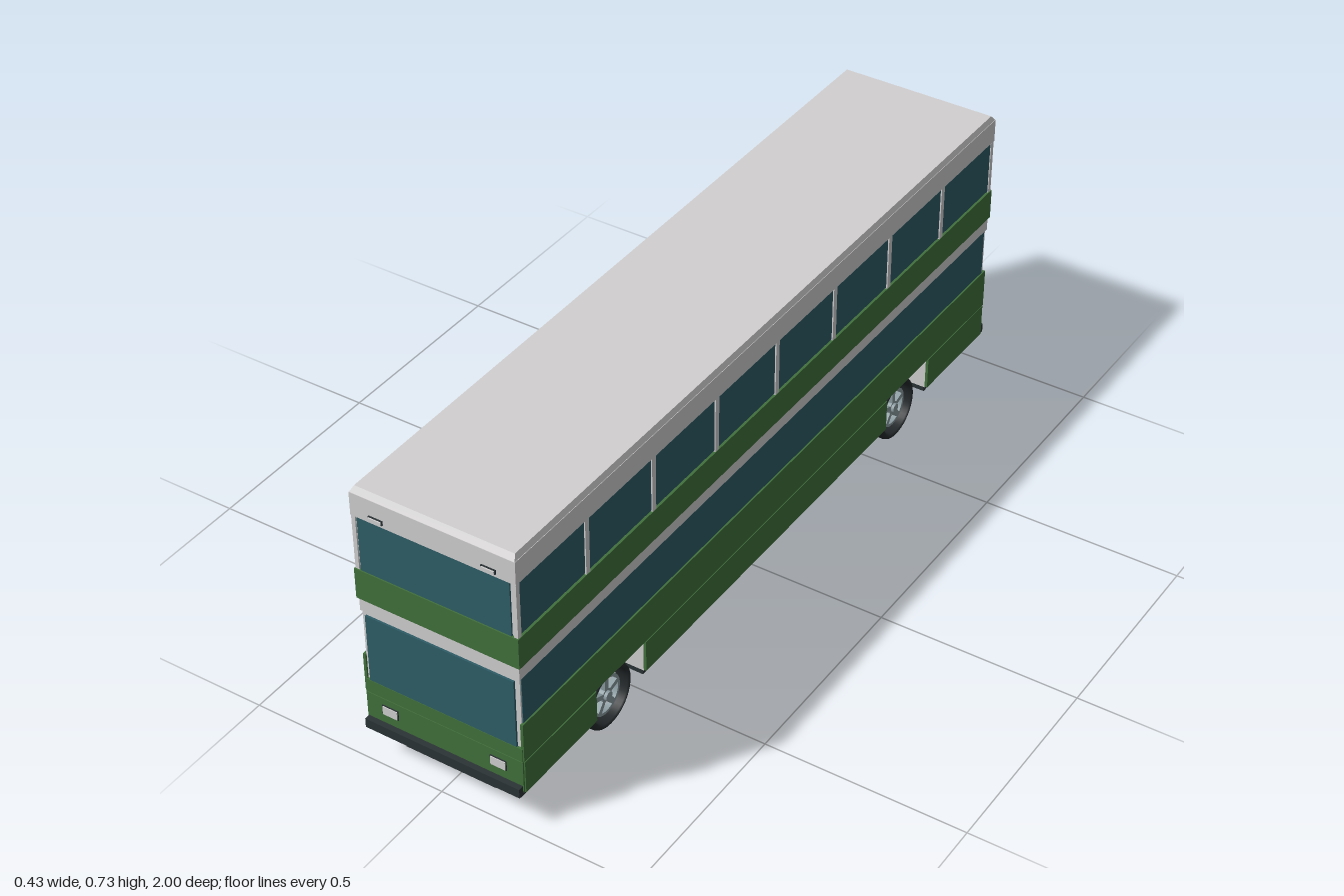
import * as THREE from 'three';

const material = (name, color) => Object.assign(new THREE.MeshStandardMaterial({ color }), { name });
const white = material('off white paint', 0xd2d0d1);
const green = material('green paint', 0x41703b);
const glass = material('tinted glass', 0x2e5d67);
const dark = material('charcoal trim', 0x2b3335);
const rubber = material('tyre rubber', 0x24292b);
const metal = material('grey metal', 0x8b9ca1);

const CX = 0.005; // middle of the body across its width
const ARCHES = [[0.53, 0.72], [-0.71, -0.51]];
const SKIRTS = [[0.72, 0.982], [-0.51, 0.53], [-0.982, -0.71]];

export function createModel() {
  const model = new THREE.Group();
  model.name = 'doubleDeckBus';

  // box given by its limits on each axis
  function box(name, mat, x0, x1, y0, y1, z0, z1, parent = model) {
    const mesh = new THREE.Mesh(new THREE.BoxGeometry(x1 - x0, y1 - y0, z1 - z0), mat);
    mesh.position.set((x0 + x1) / 2, (y0 + y1) / 2, (z0 + z1) / 2);
    mesh.name = name;
    parent.add(mesh);
    return mesh;
  }
  // box centred on the body, given by half width and half length
  const slab = (name, mat, hw, y0, y1, hl) => box(name, mat, CX - hw, CX + hw, y0, y1, -hl, hl);
  // matching thin plates on both flanks
  function flanks(name, mat, inner, outer, y0, y1, z0, z1) {
    box(name + 'Left', mat, CX + inner, CX + outer, y0, y1, z0, z1);
    box(name + 'Right', mat, CX - outer, CX - inner, y0, y1, z0, z1);
  }

  // main shells of both decks
  slab('lowerDeckShell', white, 0.201, 0.18, 0.405, 0.98);
  slab('middleBand', white, 0.204, 0.405, 0.44, 0.984);
  slab('upperGreenBand', green, 0.208, 0.44, 0.519, 0.988);
  slab('upperDeckShell', white, 0.202, 0.519, 0.66, 0.981);
  slab('roofSide', white, 0.207, 0.66, 0.719, 0.986);

  // roof cap with sloping edges
  const cap = slab('roofCap', white, 0.206, 0.719, 0.732, 0.985);
  const pos = cap.geometry.attributes.position;
  for (let i = 0; i < pos.count; i++) {
    if (pos.getY(i) > 0) {
      pos.setX(i, pos.getX(i) - Math.sign(pos.getX(i)) * 0.006);
      pos.setZ(i, pos.getZ(i) - Math.sign(pos.getZ(i)) * 0.01);
    }
  }
  cap.geometry.computeVertexNormals();

  // skirts between the wheel arches, with floor below
  for (const [z0, z1] of SKIRTS) {
    box('skirtCore', white, CX - 0.2, CX + 0.2, 0.092, 0.18, z0, z1);
    flanks('skirtPanel', green, 0.2, 0.207, 0.094, 0.178, z0, z1);
    box('floor', dark, CX - 0.198, CX + 0.198, 0.08, 0.092, Math.max(z0, -0.975), Math.min(z1, 0.975));
  }
  for (const [z0, z1] of ARCHES) box('archLiner', dark, CX - 0.2, CX + 0.2, 0.174, 0.18, z0, z1);
  slab('chassis', dark, 0.119, 0.05, 0.092, 0.97);

  // flank panels and glazing
  flanks('sidePanel', green, 0.2, 0.207, 0.181, 0.283, -0.984, 0.984);
  flanks('lowerSideGlass', glass, 0.2, 0.203, 0.283, 0.405, -0.972, 0.976);
  flanks('upperSideGlass', glass, 0.2, 0.204, 0.522, 0.658, -0.974, 0.974);
  for (let i = -3; i <= 3; i++) {
    flanks('windowPillar', white, 0.2, 0.207, 0.519, 0.66, i * 0.246 - 0.007, i * 0.246 + 0.007);
  }
  for (const z of [-0.979, 0.979]) {
    flanks('upperCornerPillar', white, 0.196, 0.206, 0.519, 0.66, z - 0.006, z + 0.006);
  }

  // ends: the rear is the same as the front apart from its glass height and lamps
  for (const s of [1, -1]) {
    const end = new THREE.Group();
    end.name = s > 0 ? 'frontEnd' : 'rearEnd';
    model.add(end);
    const plate = (name, mat, x0, x1, y0, y1, depth) =>
      box(name, mat, x0, x1, y0, y1, Math.min(s * 0.976, s * depth), Math.max(s * 0.976, s * depth), end);
    const sill = s > 0 ? 0.216 : 0.26;
    plate('endSkirt', green, CX - 0.204, CX + 0.204, 0.094, 0.179, 0.986);
    plate('endPanel', green, CX - 0.204, CX + 0.204, 0.181, sill, 0.986);
    plate('lowerEndGlass', glass, -0.187, 0.194, sill, 0.395, 0.985);
    plate('upperEndGlass', glass, -0.187, 0.195, 0.519, 0.659, 0.985);
    plate('bumper', dark, CX - 0.202, CX + 0.202, 0.088, 0.112, 1.0);
    plate('bumperLip', dark, CX - 0.198, CX + 0.198, 0.08, 0.088, 0.99);
    for (const side of [-1, 1]) {
      const x = CX + side * 0.141;
      plate('markerLampRim', dark, x - 0.018, x + 0.018, 0.668, 0.679, 0.989);
      plate('markerLamp', s > 0 ? white : dark, x - 0.016, x + 0.016, 0.67, 0.677, 0.992);
      const y = s > 0 ? 0.149 : 0.187;
      plate('lampRim', dark, x - 0.021, x + 0.021, y - 0.013, y + 0.013, 0.988);
      plate('lamp', s > 0 ? white : dark, x - 0.019, x + 0.019, y - 0.011, y + 0.011, s > 0 ? 0.99 : 0.996);
    }
  }

  // double-leaf doors on the right flank
  for (const zc of [-0.07, 0.82]) {
    const door = new THREE.Group();
    door.name = 'door';
    model.add(door);
    box('doorBase', metal, -0.2125, -0.2, 0.1, 0.4, zc - 0.1, zc + 0.1, door);
    for (const side of [-1, 1]) {
      const z = zc + side * 0.049;
      box('doorLeaf', white, -0.214, -0.212, 0.102, 0.398, z - 0.047, z + 0.047, door);
      box('doorGlass', glass, -0.215, -0.213, 0.245, 0.388, z - 0.037, z + 0.037, door);
    }
  }

  // wheels: rounded tyre and an open five-spoke hub
  const R = 0.081;
  const tyreShape = [[0.066, -0.016], [0.073, -0.019], [0.078, -0.016], [R, -0.009], [R, 0.009],
    [0.078, 0.016], [0.073, 0.019], [0.066, 0.016], [0.066, -0.016]];
  const tyreGeo = new THREE.LatheGeometry(tyreShape.map(([r, y]) => new THREE.Vector2(r, y)), 40);
  tyreGeo.rotateZ(-Math.PI / 2);

  const disc = new THREE.Shape().absarc(0, 0, 0.051, 0, Math.PI * 2);
  for (let i = 0; i < 5; i++) {
    const a = i * Math.PI * 0.4 + 0.3;
    const hole = new THREE.Path();
    hole.absarc(0, 0, 0.044, a + 0.16, a + 1.1, false);
    hole.absarc(0, 0, 0.017, a + 0.9, a + 0.36, true);
    hole.closePath();
    disc.holes.push(hole);
  }
  const hubGeo = new THREE.ExtrudeGeometry(disc, { depth: 0.012, bevelEnabled: false, curveSegments: 20 });
  hubGeo.translate(0, 0, -0.006);
  hubGeo.rotateY(Math.PI / 2);
  const capGeo = new THREE.CylinderGeometry(0.012, 0.012, 0.026, 20).rotateZ(Math.PI / 2);

  for (const z of [0.63, -0.61]) {
    for (const side of [-1, 1]) {
      const wheel = new THREE.Group();
      wheel.name = 'wheel';
      wheel.position.set(CX + side * 0.164, R, z);
      for (const [name, geo, mat] of [['tyre', tyreGeo, rubber], ['hub', hubGeo, metal], ['hubCap', capGeo, metal]]) {
        const mesh = new THREE.Mesh(geo, mat);
        mesh.name = name;
        wheel.add(mesh);
      }
      model.add(wheel);
    }
  }
  return model;
}
